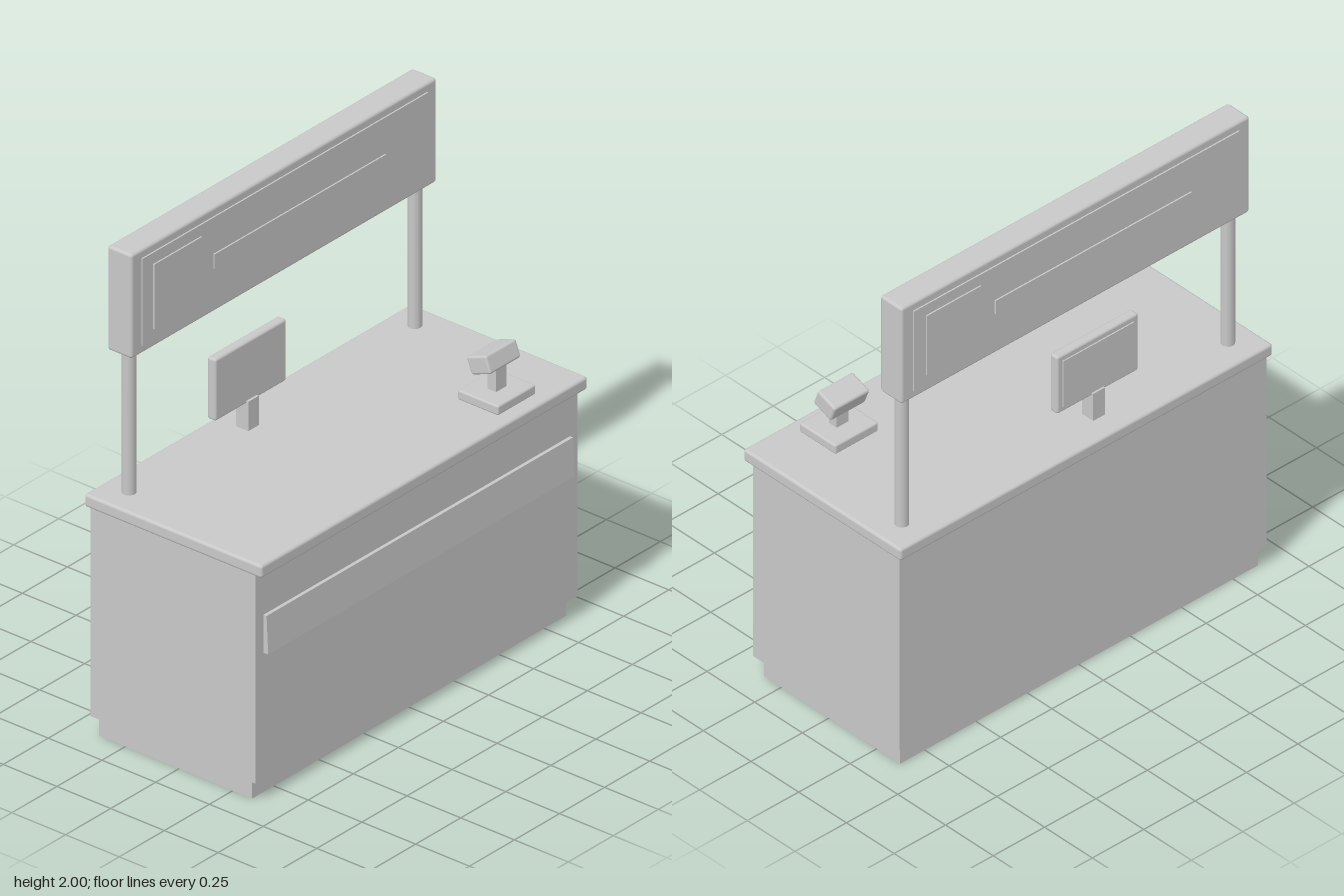
import * as THREE from 'three';
import { RoundedBoxGeometry } from 'three/addons/geometries/RoundedBoxGeometry.js';

export function createModel() {
  const model = new THREE.Group();
  model.name = 'serviceCounter';
  const grey = new THREE.MeshStandardMaterial({ color: 0xc8c8c8 });
  grey.name = 'light grey';

  // Box given by its extents on each axis; a bevel softens the edges
  function box(name, [x0, x1], [y0, y1], [z0, z1], bevel = 0, parent = model) {
    const size = [x1 - x0, y1 - y0, z1 - z0];
    const geometry = bevel
      ? new RoundedBoxGeometry(...size, 2, bevel)
      : new THREE.BoxGeometry(...size);
    const mesh = new THREE.Mesh(geometry, grey);
    mesh.name = name;
    mesh.position.set((x0 + x1) / 2, (y0 + y1) / 2, (z0 + z1) / 2);
    parent.add(mesh);
    return mesh;
  }

  // Counter
  box('plinth', [-0.87, 0.87], [0, 0.085], [-0.372, 0.34]);
  box('counterBody', [-0.893, 0.893], [0.083, 0.945], [-0.393, 0.375]);
  box('countertop', [-0.906, 0.906], [0.937, 0.99], [-0.413, 0.413], 0.012);
  const strip = box('frontStrip', [-0.85, 0.85], [0.6, 0.755], [0.364, 0.394]);
  strip.rotation.x = -0.05;

  // Posts
  for (const side of [-1, 1]) {
    const post = new THREE.Mesh(new THREE.CylinderGeometry(0.027, 0.027, 0.62, 12), grey);
    post.name = side > 0 ? 'leftPost' : 'rightPost';
    post.position.set(side * 0.793, 1.285, -0.298);
    model.add(post);
  }

  // Overhead sign, with the same raised plates on both faces
  const sign = new THREE.Group();
  sign.name = 'sign';
  sign.position.set(0, 1.787, -0.298);
  model.add(sign);
  box('signBoard', [-0.847, 0.847], [-0.213, 0.213], [-0.057, 0.057], 0.012, sign);
  for (const turn of [0, Math.PI]) {
    const face = new THREE.Group();
    face.name = turn ? 'signBack' : 'signFront';
    face.rotation.y = turn;
    sign.add(face);
    box('facePanel', [-0.792, 0.792], [-0.178, 0.178], [0.055, 0.063], 0, face);
    box('squarePlate', [-0.735, -0.47], [-0.132, 0.132], [0.061, 0.069], 0, face);
    box('longPlate', [-0.4, 0.555], [-0.03, 0.03], [0.061, 0.069], 0, face);
  }

  // Monitor, its screen facing the back
  box('monitorStand', [-0.18, -0.122], [0.985, 1.11], [-0.315, -0.257]);
  box('monitor', [-0.35, 0.045], [1.097, 1.35], [-0.307, -0.267], 0.01);
  box('monitorScreen', [-0.325, 0.02], [1.122, 1.325], [-0.312, -0.304]);

  // Card terminal with a tilted head
  box('terminalBase', [0.478, 0.688], [0.988, 1.028], [0.163, 0.353], 0.008);
  box('terminalStem', [0.554, 0.611], [1.02, 1.13], [0.24, 0.28]);
  const head = box('terminalHead', [0.495, 0.667], [1.113, 1.185], [0.197, 0.295], 0.01);
  head.rotation.x = -0.36;

  return model;
}
